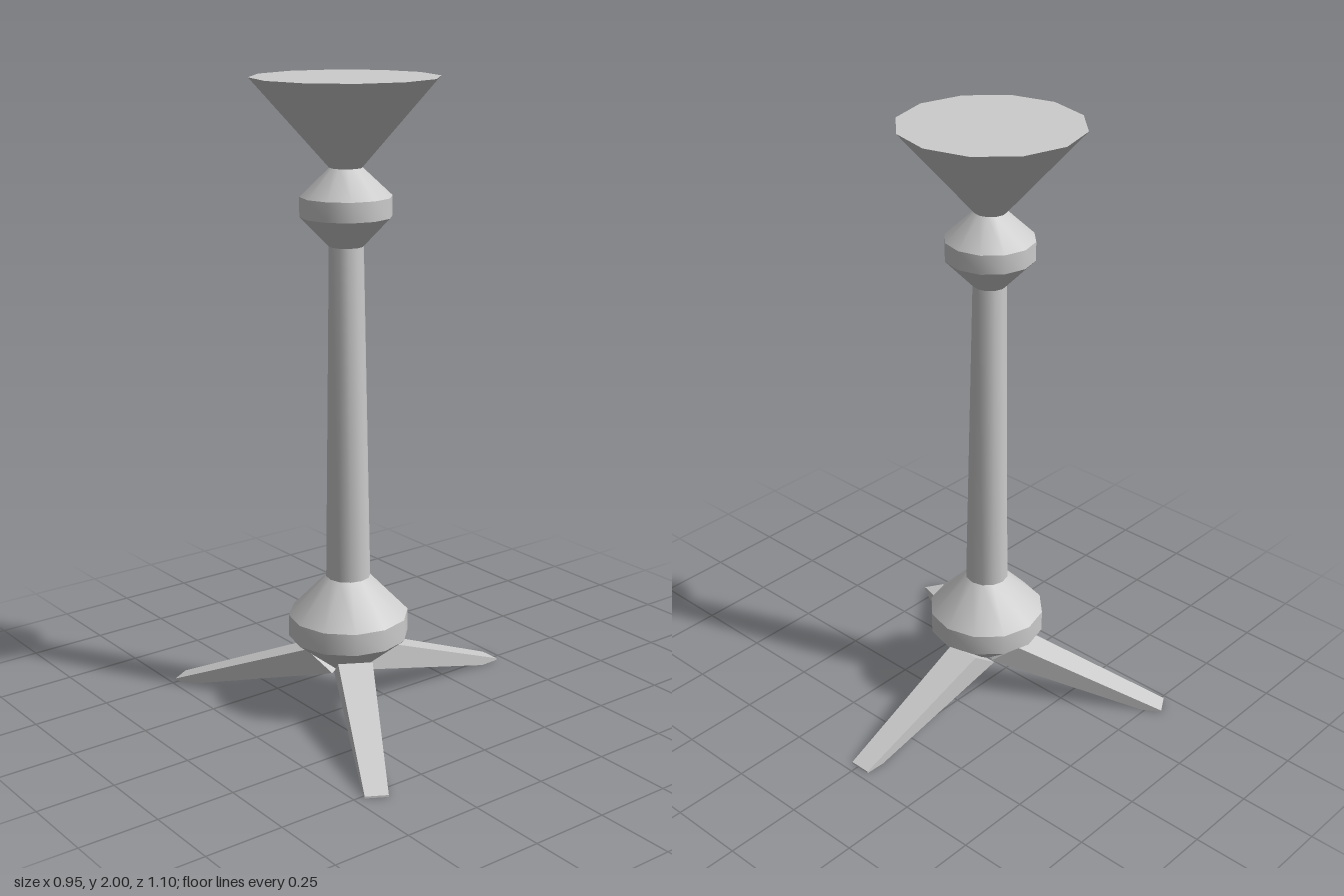
import * as THREE from 'three';
import { toCreasedNormals } from 'three/addons/utils/BufferGeometryUtils.js';

const SIDES = 12;
const material = new THREE.MeshStandardMaterial({ color: 0xcccccc });

// Turned part: profile of [radius, height], smooth around, sharp at the rings
function turned(name, profile) {
  const points = profile.map(([r, y]) => new THREE.Vector2(r, y));
  const geometry = toCreasedNormals(new THREE.LatheGeometry(points, SIDES), 0.6);
  const mesh = new THREE.Mesh(geometry, material);
  mesh.name = name;
  return mesh;
}

// Sloping leg along +x: side outline extruded, then narrowed towards the foot
function legGeometry() {
  const outline = new THREE.Shape([
    [0.03, 0.135], [0.545, 0], [0.612, 0], [0.612, 0.006], [0.12, 0.2],
  ].map(([x, y]) => new THREE.Vector2(x, y)));
  const geometry = new THREE.ExtrudeGeometry(outline, { depth: 1, bevelEnabled: false });
  const p = geometry.attributes.position;
  for (let i = 0; i < p.count; i++) {
    const halfWidth = 0.059 - 0.039 * p.getX(i);
    p.setZ(i, (p.getZ(i) - 0.5) * 2 * halfWidth - 0.007);
  }
  geometry.computeVertexNormals();
  return geometry;
}

export function createModel() {
  const model = new THREE.Group();
  model.name = 'pedestalStand';

  // Column, from the bottom up
  model.add(
    turned('lowerBulb', [
      [0, 0.138], [0.045, 0.138], [0.19, 0.255], [0.19, 0.325], [0.07, 0.45],
    ]),
    turned('pole', [[0.07, 0.45], [0.053, 1.5]]),
    turned('upperCollar', [
      [0.053, 1.5], [0.14, 1.59], [0.14, 1.65], [0.05, 1.735],
    ]),
    turned('flaredTop', [[0.05, 1.735], [0.284, 2], [0, 2]]),
  );

  // Three legs
  const leg = legGeometry();
  for (let i = 0; i < 3; i++) {
    const mesh = new THREE.Mesh(leg, material);
    mesh.name = `leg${i + 1}`;
    mesh.rotation.y = (i * Math.PI * 2) / 3;
    model.add(mesh);
  }

  // The column stands off centre so that the legs' span is centred
  model.position.set(-0.14, 0, -0.003);
  const root = new THREE.Group();
  root.add(model);
  return root;
}
